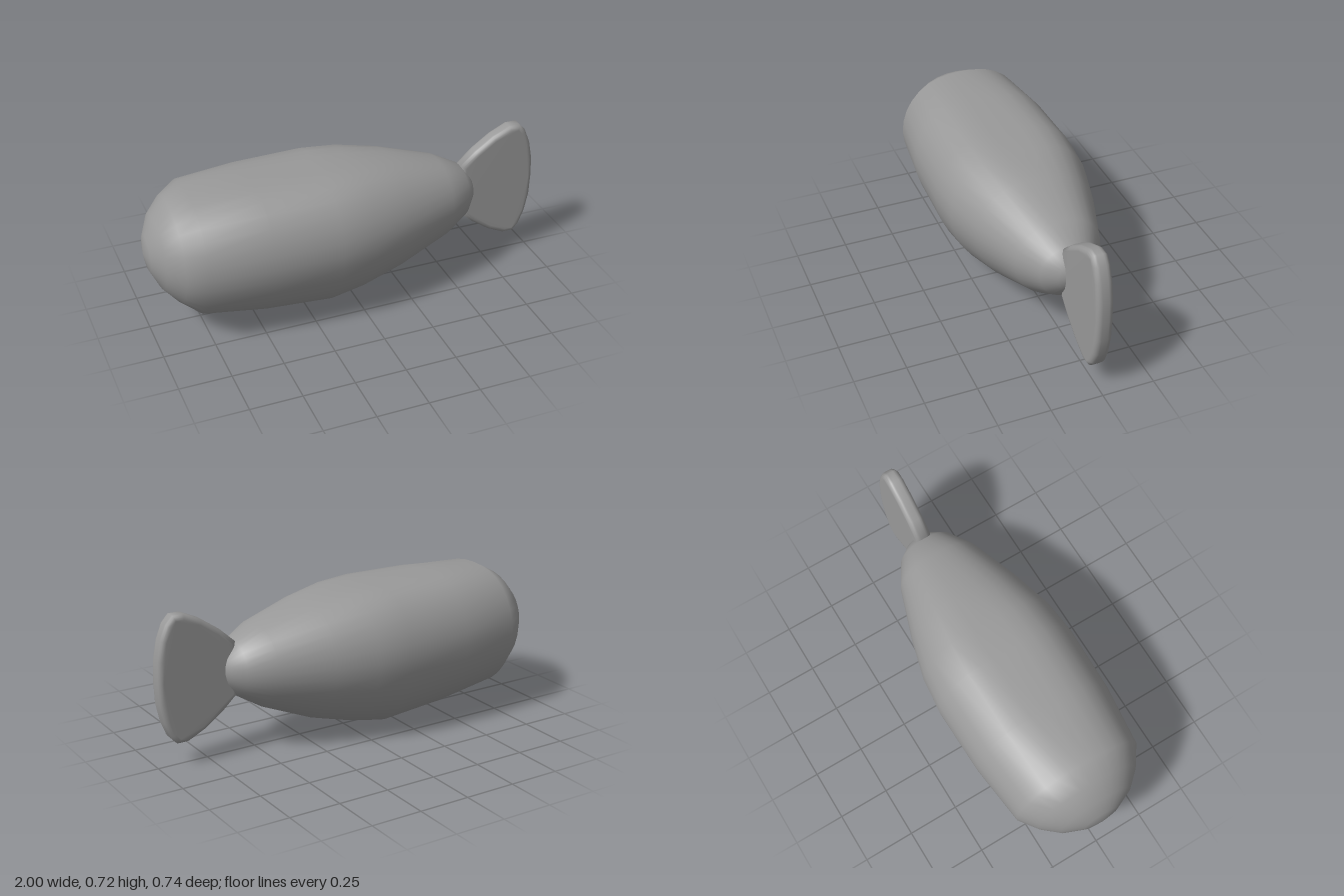
import * as THREE from 'three';
import { mergeVertices } from 'three/addons/utils/BufferGeometryUtils.js';

const MID = 0.42; // height of the long axis
const SIDES = 32;

// Stations along the body: x, rise above axis, drop below axis, half width
const STATIONS = [
  [-1, 0, 0, 0], [-0.985, 0.085, 0.085, 0.09], [-0.94, 0.172, 0.18, 0.19],
  [-0.87, 0.242, 0.26, 0.267], [-0.78, 0.29, 0.336, 0.33], [-0.48, 0.29, 0.385, 0.363],
  [-0.15, 0.29, 0.417, 0.37], [0.02, 0.28, 0.381, 0.353], [0.22, 0.258, 0.325, 0.3],
  [0.48, 0.187, 0.215, 0.212], [0.6, 0.13, 0.14, 0.14], [0.65, 0.07, 0.075, 0.075],
  [0.665, 0.035, 0.035, 0.035], [0.672, 0, 0, 0],
];

// Rounded sections with a flattened back and a slight keel below
function bodyGeometry() {
  const points = [], index = [];
  for (const [x, rise, drop, half] of STATIONS) {
    const side = half * 0.94;
    for (let j = 0; j < SIDES; j++) {
      const t = (j / SIDES) * Math.PI * 2;
      const c = Math.cos(t);
      const radius = c > 0 ? side + (rise - side) * c ** 6 : side - (drop - side) * c;
      points.push(x, MID + c * radius, Math.sin(t) * half);
    }
  }
  for (let i = 0; i < STATIONS.length - 1; i++) {
    for (let j = 0; j < SIDES; j++) {
      const k = (j + 1) % SIDES;
      const a = i * SIDES + j, b = i * SIDES + k;
      const c = a + SIDES, d = b + SIDES;
      if (i > 0) index.push(a, b, c);
      if (i < STATIONS.length - 2) index.push(b, d, c);
      else index.push(b, c, c); // closes onto the rear tip
    }
  }
  const geometry = new THREE.BufferGeometry();
  geometry.setAttribute('position', new THREE.Float32BufferAttribute(points, 3));
  geometry.setIndex(index);
  const welded = mergeVertices(geometry, 1e-5);
  welded.computeVertexNormals();
  return welded;
}

// Fan-shaped upright fin with a soft rounded rim
function finGeometry() {
  const BEVEL = 0.025;
  const upper = [
    [0.625, 0.12], [0.69, 0.18], [0.78, 0.243], [0.86, 0.281], [0.898, 0.281],
    [0.922, 0.255], [0.948, 0.19], [0.966, 0.1],
  ];
  const outline = [
    ...upper, [0.97, 0],
    ...upper.map(([x, y]) => [x, -y]).reverse(),
  ].map(([x, y]) => new THREE.Vector2(x, y + MID));
  const extruded = new THREE.ExtrudeGeometry(new THREE.Shape(outline), {
    depth: 0.03, bevelThickness: BEVEL, bevelSize: BEVEL, bevelSegments: 4,
  });
  extruded.translate(0, 0, -0.015);
  extruded.deleteAttribute('normal');
  extruded.deleteAttribute('uv');
  const welded = mergeVertices(extruded, 1e-5);
  welded.computeVertexNormals();
  return welded;
}

export function createModel() {
  const group = new THREE.Group();
  const grey = new THREE.MeshStandardMaterial({ color: 0x999999 });
  grey.name = 'grey';

  const body = new THREE.Mesh(bodyGeometry(), grey);
  body.name = 'body';
  const tailFin = new THREE.Mesh(finGeometry(), grey);
  tailFin.name = 'tailFin';

  group.add(body, tailFin);
  return group;
}
